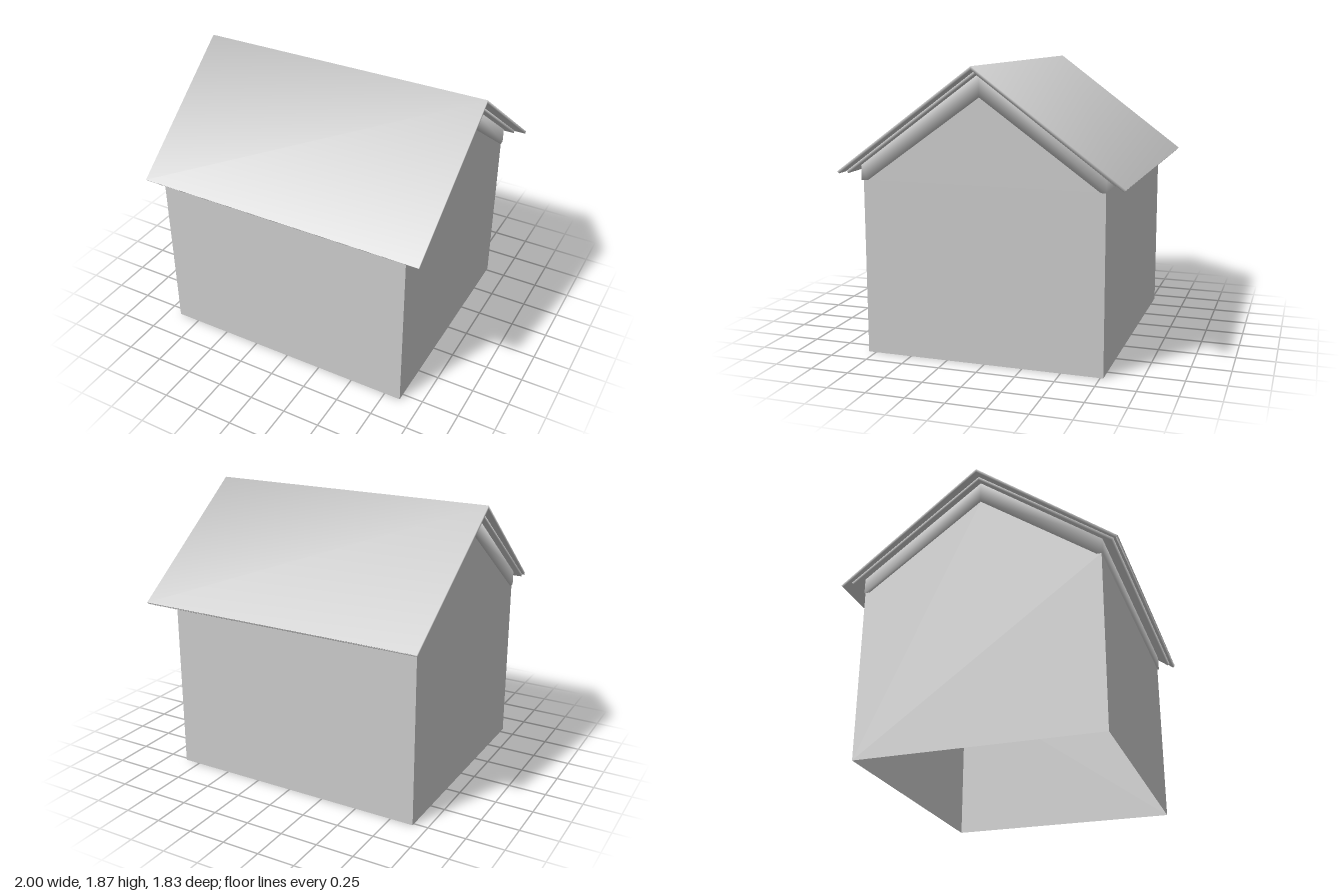
import * as THREE from 'three';
import { mergeVertices } from 'three/addons/utils/BufferGeometryUtils.js';

const RIDGE_Z = 0.015, PITCH = 0.735;
const material = new THREE.MeshStandardMaterial({ color: 0xcccccc, side: THREE.DoubleSide });

function addMesh(group, geometry, name) {
  const mesh = new THREE.Mesh(geometry, material);
  mesh.name = name;
  group.add(mesh);
  return mesh;
}

// Extrudes a [z, y] outline along x from x0 to x1, welded for smooth shading
function extrudeAlongX(outline, x0, x1, adjust) {
  const shape = new THREE.Shape(outline.map(([z, y]) => new THREE.Vector2(z, y)));
  const geo = new THREE.ExtrudeGeometry(shape, { depth: x1 - x0, bevelEnabled: false });
  geo.rotateY(-Math.PI / 2).translate(x1, 0, 0);
  const p = geo.attributes.position;
  if (adjust) for (let i = 0; i < p.count; i++) p.setX(i, adjust(p.getX(i), p.getZ(i)));
  geo.deleteAttribute('normal');
  geo.deleteAttribute('uv');
  const welded = mergeVertices(geo, 1e-4);
  welded.computeVertexNormals();
  return welded;
}

// Folded sheet outline: ridge height, eave depths and vertical thickness
function sheetOutline(ridgeY, front, back, thickness) {
  const yAt = z => ridgeY - PITCH * Math.abs(z - RIDGE_Z);
  const lean = 0.012;
  return [
    [front, yAt(front)], [RIDGE_Z, ridgeY], [back, yAt(back)],
    [back + lean, yAt(back) - thickness + lean * PITCH],
    [RIDGE_Z, ridgeY - thickness],
    [front - lean, yAt(front) - thickness + lean * PITCH],
  ];
}

export function createModel() {
  const model = new THREE.Group();
  model.name = 'house';

  // Walls: open-bottomed thin shell with two gables
  const walls = new THREE.Group();
  walls.name = 'walls';
  model.add(walls);
  const x0 = -0.905, x1 = 0.86, zBack = -0.77, zFront = 0.8, eaveY = 1.14, apexY = 1.68;

  const gable = new THREE.Shape([
    [zBack, 0], [zFront, 0], [zFront, eaveY], [RIDGE_Z, apexY], [zBack, eaveY],
  ].map(([z, y]) => new THREE.Vector2(-z, y)));
  addMesh(walls, new THREE.ShapeGeometry(gable).rotateY(Math.PI / 2).translate(x1, 0, 0), 'rightGableWall');
  const mirrored = new THREE.Shape(gable.getPoints().map(p => new THREE.Vector2(-p.x, p.y)));
  addMesh(walls, new THREE.ShapeGeometry(mirrored).rotateY(-Math.PI / 2).translate(x0, 0, 0), 'leftGableWall');

  for (const [name, z, turn] of [['frontWall', zFront, 0], ['backWall', zBack, Math.PI]]) {
    const geo = new THREE.PlaneGeometry(x1 - x0, eaveY).rotateY(turn);
    addMesh(walls, geo.translate((x0 + x1) / 2, eaveY / 2, z), name);
  }

  // Thick roof base resting on the walls
  addMesh(model, extrudeAlongX([
    [0.81, 1.245], [RIDGE_Z, 1.82], [-0.775, 1.245],
    [-0.775, 1.14], [-0.74, 1.14], [RIDGE_Z, 1.68], [0.77, 1.14], [0.81, 1.14],
  ], -0.91, 0.87), 'roofBase');

  // Middle roof layer
  addMesh(model, extrudeAlongX(sheetOutline(1.843, 0.885, -0.85, 0.023), -0.95, 0.925), 'roofUnderlay');

  // Outer roof, its ends drawn in slightly towards the eaves
  const taper = (x, z) => {
    const t = Math.min(1, Math.abs(z - RIDGE_Z) / 0.91);
    return x < 0 ? x + (z > RIDGE_Z ? 0.04 : 0.03) * t : x - 0.01 * t;
  };
  addMesh(model, extrudeAlongX(sheetOutline(1.87, 0.915, -0.915, 0.022), -1, 1, taper), 'outerRoof');

  return model;
}
